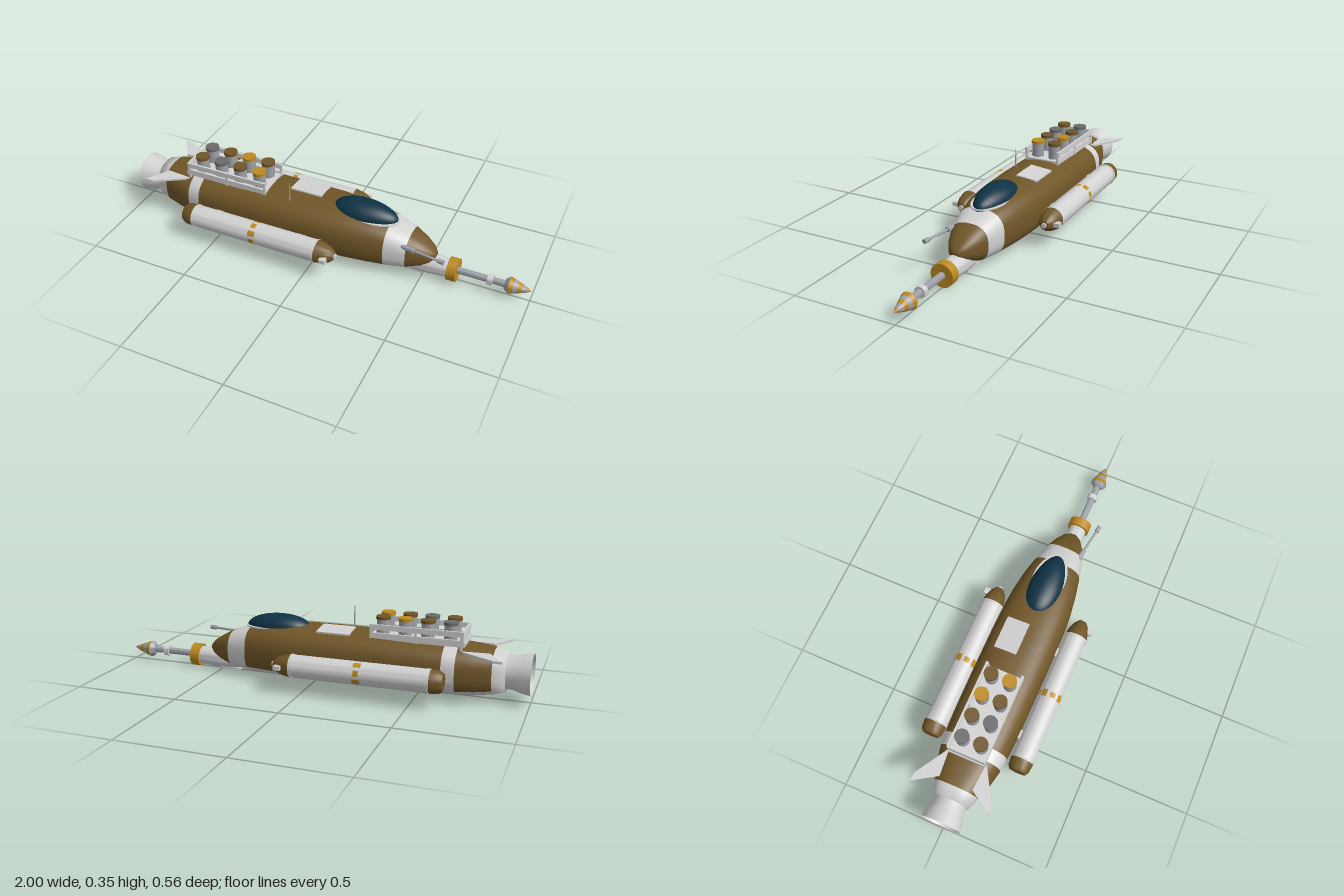
import * as THREE from 'three';
import { toCreasedNormals } from 'three/addons/utils/BufferGeometryUtils.js';

const paint = (name, color, side = THREE.FrontSide) => {
  const m = new THREE.MeshStandardMaterial({ color, side });
  m.name = name;
  return m;
};

export function createModel() {
  const model = new THREE.Group();
  model.name = 'submarine';
  const brown = paint('brown', 0x705628);
  const white = paint('offWhite', 0xd2d2d2, THREE.DoubleSide);
  const steel = paint('steel', 0x9da1a8);
  const dark = paint('darkGrey', 0x6c6c6c);
  const orange = paint('orange', 0xbd8a20, THREE.DoubleSide);
  const glass = paint('glass', 0x0e3345);

  const add = (name, geo, mat, x = 0, y = 0, z = 0, parent = model) => {
    const mesh = new THREE.Mesh(geo, mat);
    mesh.name = name;
    mesh.position.set(x, y, z);
    parent.add(mesh);
    return mesh;
  };
  const box = (name, mat, x0, x1, y0, y1, z0, z1, parent) =>
    add(name, new THREE.BoxGeometry(x1 - x0, y1 - y0, Math.abs(z1 - z0)), mat,
      (x0 + x1) / 2, (y0 + y1) / 2, (z0 + z1) / 2, parent);
  // Turned part along x from [x, radius] points
  const turned = (name, pts, mat, y, z, parent, seg = 32) => {
    const g = new THREE.LatheGeometry(pts.map(([x, r]) => new THREE.Vector2(r, x)), seg);
    g.rotateZ(-Math.PI / 2);
    return add(name, toCreasedNormals(g, 0.6), mat, 0, y, z, parent);
  };

  // Hull: boxy rounded sections [x, bottom, top, half width]
  const sections = [
    [-0.89, 0.045, 0.225, 0.085], [-0.835, 0.032, 0.238, 0.105], [-0.76, 0.024, 0.245, 0.13],
    [-0.68, 0.02, 0.251, 0.147], [-0.62, 0.017, 0.255, 0.153], [-0.5, 0.015, 0.26, 0.159],
    [-0.3, 0.015, 0.266, 0.161], [-0.1, 0.015, 0.268, 0.161], [0.05, 0.015, 0.267, 0.158],
    [0.14, 0.016, 0.264, 0.152], [0.24, 0.018, 0.257, 0.138], [0.33, 0.021, 0.24, 0.12],
    [0.43, 0.033, 0.207, 0.095], [0.49, 0.055, 0.176, 0.07], [0.53, 0.075, 0.15, 0.046],
    [0.552, 0.095, 0.125, 0.02],
  ];
  const N = 48, pos = [], faces = [[], []];
  const bend = (v) => Math.sign(v) * Math.abs(v) ** 0.77;
  for (const [x, b, t, w] of sections)
    for (let j = 0; j < N; j++) {
      const a = (j / N) * Math.PI * 2;
      pos.push(x, (b + t) / 2 + (t - b) / 2 * bend(Math.sin(a)), w * bend(Math.cos(a)));
    }
  for (let i = 0; i < sections.length - 1; i++) {
    const x = sections[i][0];
    const band = x < -0.85 || x === -0.68 || x === 0.33;
    for (let j = 0; j < N; j++) {
      const keel = j >= 29 && j < 43 && x < 0.4;
      const k = (j + 1) % N, a = i * N + j, b = i * N + k, c = a + N, d = b + N;
      faces[band || keel ? 1 : 0].push(a, c, b, b, c, d);
    }
  }
  // End caps
  for (const [i, slot] of [[0, 1], [sections.length - 1, 0]]) {
    const [x, b, t] = sections[i], centre = pos.length / 3;
    pos.push(x, (b + t) / 2, 0);
    for (let j = 0; j < N; j++) {
      const p = i * N + j, q = i * N + (j + 1) % N;
      faces[slot].push(centre, i ? q : p, i ? p : q);
      if (i) faces[slot].splice(-3, 3, centre, q, p);
    }
  }
  const hull = new THREE.BufferGeometry();
  hull.setAttribute('position', new THREE.Float32BufferAttribute(pos, 3));
  hull.setIndex([...faces[0], ...faces[1]]);
  hull.addGroup(0, faces[0].length, 0);
  hull.addGroup(faces[0].length, faces[1].length, 1);
  hull.computeVertexNormals();
  const hullBrown = paint('hullBrown', 0x705628, THREE.DoubleSide);
  add('hull', hull, [hullBrown, white]);

  // Stern nozzle
  turned('nozzle', [[-1, 0.095], [-0.96, 0.088], [-0.92, 0.076], [-0.88, 0.074]], white, 0.133, 0);
  turned('nozzleCore', [[-0.96, 0], [-0.955, 0.05], [-0.89, 0.06]], steel, 0.133, 0);

  // Canopy: dome with a tapered tail and rim
  const dome = new THREE.SphereGeometry(1, 40, 20);
  const p = dome.attributes.position;
  for (let i = 0; i < p.count; i++) {
    const x = p.getX(i), taper = 1 - 0.14 * x;
    p.setXYZ(i, x * 0.158, p.getY(i) * 0.06 - x * 0.004, p.getZ(i) * 0.077 * taper);
  }
  dome.computeVertexNormals();
  add('canopy', dome, glass, 0.2, 0.246, 0);
  const rim = new THREE.CylinderGeometry(1, 1, 0.006, 40);
  rim.scale(0.145, 1, 0.08);
  add('canopyRim', rim, white, 0.22, 0.245, 0).rotation.z = -0.02;

  // Drill
  turned('drillHousing', [[0.36, 0.035], [0.46, 0.05], [0.53, 0.05], [0.62, 0.042]], white, 0.058, 0);
  box('chinSkid', white, 0.4, 0.5, 0.008, 0.02, -0.03, 0.03);
  turned('drillCollar', [[0.615, 0], [0.615, 0.055], [0.66, 0.055], [0.66, 0.03], [0.655, 0]], orange, 0.058, 0);
  turned('drillShaft', [[0.655, 0.016], [0.89, 0.016]], steel, 0.06, 0);
  turned('shaftRing', [[0.8, 0], [0.8, 0.026], [0.825, 0.026], [0.825, 0]], white, 0.06, 0);
  [[0.88, 0.024, 0.04], [0.9, 0.04, 0.034], [0.92, 0.034, 0.027], [0.94, 0.027, 0.02],
    [0.96, 0.02, 0.012], [0.98, 0.012, 0.001]].forEach(([x, r0, r1], i) =>
    turned('drillStep', [[x, 0], [x, r0], [x + 0.02, r1], [x + 0.02, 0]], i % 2 ? orange : steel, 0.06, 0));

  // Bow gun on the port cheek
  const gun = new THREE.Group();
  gun.name = 'bowGun';
  gun.position.set(0.42, 0.174, 0.08);
  gun.rotation.y = -0.15;
  model.add(gun);
  turned('gunMount', [[-0.02, 0], [-0.02, 0.012], [0.05, 0.012], [0.05, 0]], steel, 0, 0, gun, 16);
  turned('gunBarrel', [[0, 0.006], [0.17, 0.006]], steel, 0, 0, gun, 12);
  turned('gunMuzzle', [[0.17, 0], [0.17, 0.011], [0.2, 0.011], [0.2, 0]], steel, 0, 0, gun, 12);

  for (const s of [-1, 1]) {
    const side = new THREE.Group();
    side.name = s > 0 ? 'frontSide' : 'backSide';
    model.add(side);
    const z = s * 0.218, y = 0.125;
    // Side pod
    turned('podBody', [[-0.595, 0.053], [0.05, 0.053]], white, y, z, side);
    turned('podNose', [[0.05, 0.054], [0.085, 0.047], [0.115, 0.036], [0.135, 0.02], [0.14, 0]], brown, y, z, side);
    turned('podTail', [[-0.65, 0], [-0.65, 0.04], [-0.635, 0.05], [-0.595, 0.054]], brown, y, z, side);
    turned('podHub', [[0.13, 0.014], [0.144, 0.012], [0.144, 0]], white, y, z, side, 12);
    for (const x of [-0.59, 0.04])
      turned('podRing', [[x, 0.053], [x, 0.0555], [x + 0.01, 0.0555], [x + 0.01, 0.053]], white, y, z, side);
    // Orange dashes around the pod
    for (let i = 0; i < 8; i++) {
      const dash = new THREE.CylinderGeometry(0.0538, 0.0538, i % 2 ? 0.035 : 0.025, 6, 1, true, i * Math.PI / 4, 0.5);
      dash.rotateZ(-Math.PI / 2);
      add('podDash', dash, orange, -0.27, y, z, side);
    }
    box('podLamp', white, 0.085, 0.115, 0.115, 0.135, s * 0.245, s * 0.282, side);
    for (const x of [-0.49, -0.06])
      box('podPylon', white, x - 0.02, x + 0.02, 0.105, 0.145, s * 0.14, s * 0.185, side);

    // Swept tail fin
    const fin = new THREE.Shape([[-0.89, 0.19], [-0.85, 0.187], [-0.69, 0.09], [-0.82, 0.08]]
      .map(([x, w]) => new THREE.Vector2(x, s * w)));
    const finGeo = new THREE.ExtrudeGeometry(fin, { depth: 0.01, bevelEnabled: false });
    finGeo.rotateX(Math.PI / 2);
    add('tailFin', finGeo, white, 0, 0.234, 0, side);

    // Launcher rails and posts
    box('rackRailUpper', white, -0.7, -0.28, 0.296, 0.32, s * 0.083, s * 0.093, side);
    box('rackRailLower', white, -0.7, -0.28, 0.266, 0.28, s * 0.078, s * 0.088, side);
    for (const x of [-0.695, -0.49, -0.285])
      box('rackPost', white, x - 0.006, x + 0.006, 0.235, 0.32, s * 0.08, s * 0.09, side);

    // Launch tubes with coloured caps
    const caps = s > 0 ? [brown, dark, brown, orange] : [dark, brown, orange, brown];
    caps.forEach((cap, i) => {
      const x = -0.64 + i * 0.103;
      add('launchTube', new THREE.CylinderGeometry(0.03, 0.03, 0.09, 24), steel, x, 0.295, s * 0.045, side);
      add('tubeCap', new THREE.CylinderGeometry(0.033, 0.033, 0.014, 24), cap, x, 0.345, s * 0.045, side);
    });
  }
  box('rackBase', white, -0.71, -0.28, 0.25, 0.272, -0.088, 0.088);
  box('rackBackPlate', white, -0.705, -0.695, 0.27, 0.318, -0.09, 0.09);

  // Deck hatch and antenna
  const hatch = box('deckHatch', white, -0.185, -0.025, 0.261, 0.269, -0.1, 0.01);
  hatch.rotation.x = -0.1;
  add('antenna', new THREE.CylinderGeometry(0.002, 0.004, 0.11, 8), steel, -0.155, 0.3, 0.08);
  return model;
}
